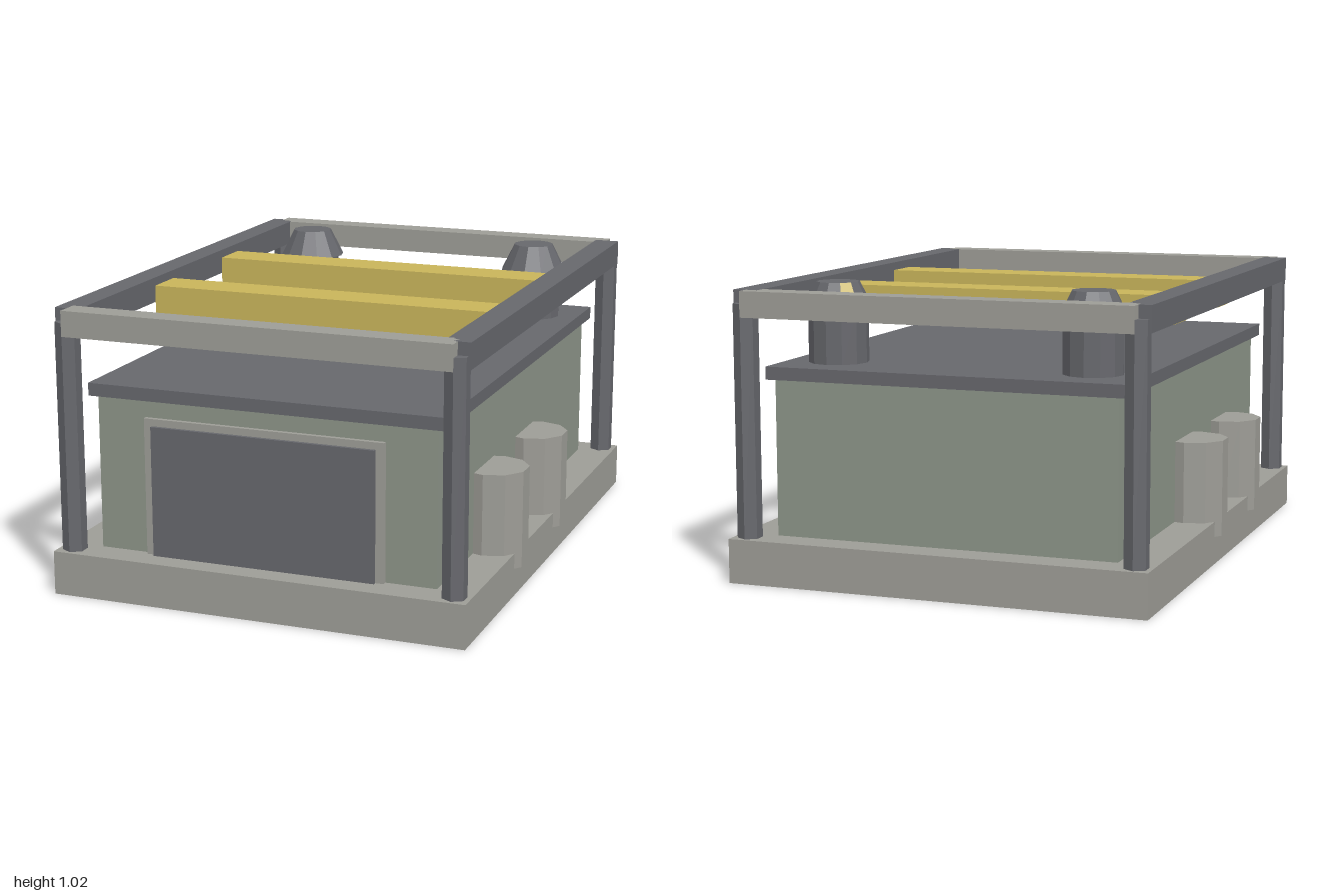
import * as THREE from 'three';

const mat = (color) => new THREE.MeshStandardMaterial({ color, flatShading: true });

export function createModel() {
  const model = new THREE.Group();
  const dark = mat(0x66676c), stone = mat(0x9d9c96), green = mat(0x8c9488), yellow = mat(0xc8b45a);

  const add = (name, geometry, material, x, y, z) => {
    const mesh = new THREE.Mesh(geometry, material);
    mesh.name = name;
    mesh.position.set(x, y, z);
    model.add(mesh);
    return mesh;
  };
  // Box given by its width, depth and bottom and top heights
  const box = (name, material, w, d, y0, y1, x = 0, z = 0) =>
    add(name, new THREE.BoxGeometry(w, y1 - y0, d), material, x, (y0 + y1) / 2, z);
  // Upright prism or cone frustum between two heights
  const prism = (name, material, rTop, rBottom, sides, y0, y1, x, z) =>
    add(name, new THREE.CylinderGeometry(rTop, rBottom, y1 - y0, sides), material, x, (y0 + y1) / 2, z);

  // Main building
  box('base', stone, 1.5, 2, 0, 0.155);
  box('body', green, 1.23, 1.78, 0.155, 0.7);
  box('roofSlab', dark, 1.29, 1.81, 0.7, 0.745);

  // Front door
  box('doorFrame', stone, 0.87, 0.03, 0.155, 0.64, 0, 0.892);
  box('doorPanel', dark, 0.81, 0.03, 0.155, 0.615, 0, 0.905);

  // Overhead frame: posts and rails meet on their centre lines
  const px = 0.695, pz = 0.945, railY = 0.965, rail = 0.09;
  for (const sx of [-1, 1]) {
    for (const sz of [-1, 1]) prism('post', dark, 0.043, 0.043, 6, 0.155, railY, sx * px, sz * pz);
    box('sideRail', dark, rail, 2 * pz, railY - rail / 2, railY + rail / 2, sx * px);
  }
  for (const sz of [-1, 1]) {
    box(sz > 0 ? 'frontRail' : 'backRail', stone, 2 * px, rail, railY - rail / 2, railY + rail / 2, 0, sz * pz);
  }

  // Cross beams
  for (const z of [0.29, -0.29]) box('crossBeam', yellow, 1.3, 0.15, 0.88, 0.98, 0, z);

  // Side buttresses
  for (const sx of [-1, 1]) {
    for (const z of [0.39, -0.1]) prism('buttress', stone, 0.125, 0.125, 10, 0.1, 0.445, sx * 0.65, z);
  }

  // Chimneys with tapered caps
  for (const sx of [-1, 1]) {
    prism('chimney', dark, 0.105, 0.105, 12, 0.745, 0.925, sx * 0.465, -0.695);
    prism('chimneyCap', dark, 0.075, 0.125, 12, 0.925, 1.025, sx * 0.465, -0.695);
  }
  // Coloured facet on one cap
  const facet = new THREE.CylinderGeometry(0.076, 0.126, 0.1, 1, 1, true, Math.PI * 7 / 6, Math.PI / 6);
  add('capMarker', facet, yellow, 0.465, 0.975, -0.695);

  return model;
}
